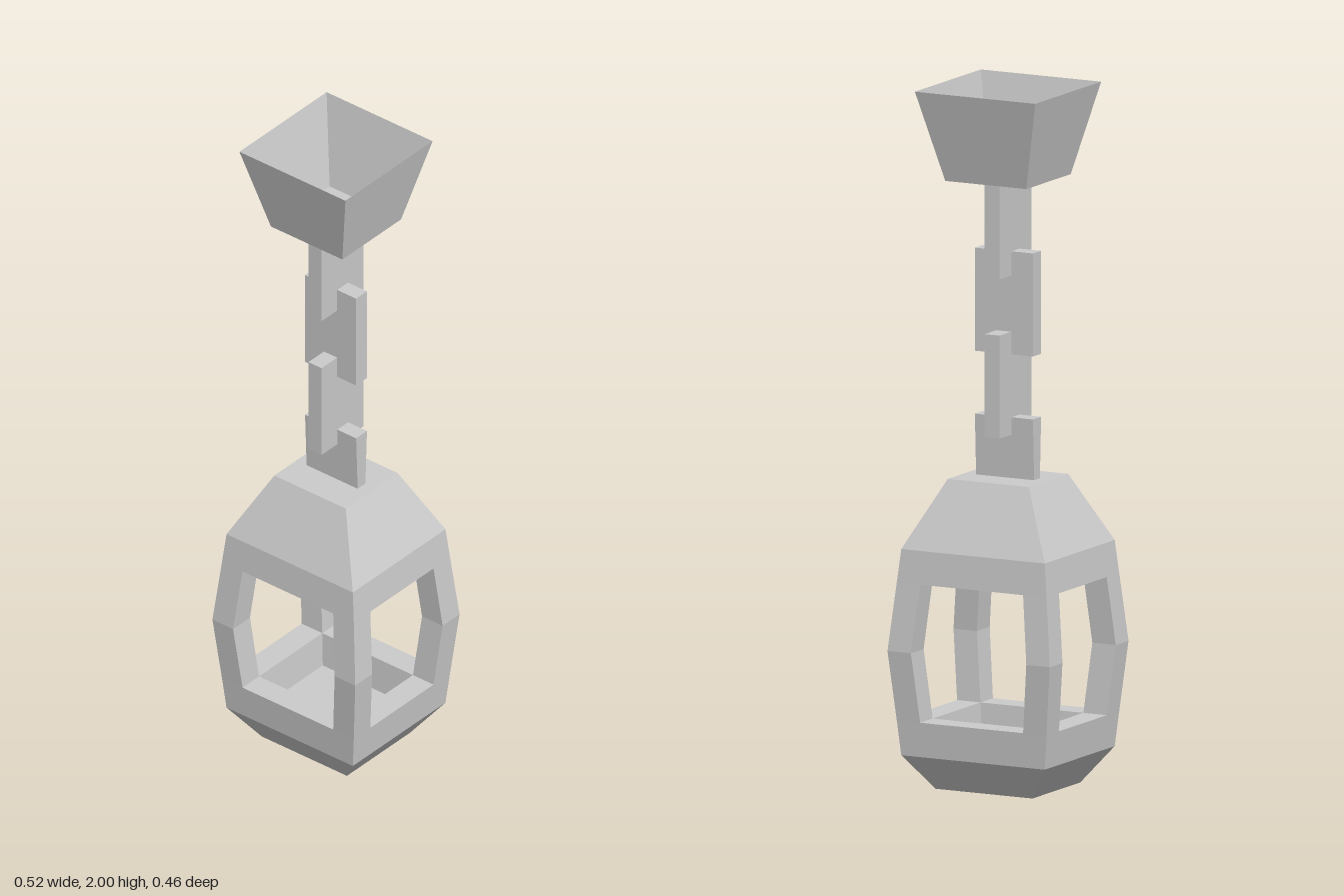
import * as THREE from 'three';

const material = new THREE.MeshStandardMaterial({ color: 0xcccccc, flatShading: true });
const thinMaterial = new THREE.MeshStandardMaterial({ color: 0xcccccc, flatShading: true, side: THREE.DoubleSide });

// Joins rectangular sections [y, halfX, halfZ, centreX, centreZ] into a faceted body
function loft(name, sections, { capStart = true, capEnd = true, mat = material } = {}) {
  const rings = sections.map(([y, hx, hz, cx = 0, cz = 0]) => [
    [cx - hx, y, cz + hz], [cx + hx, y, cz + hz], [cx + hx, y, cz - hz], [cx - hx, y, cz - hz],
  ]);
  const positions = [];
  const quad = (a, b, c, d) => positions.push(...a, ...b, ...c, ...a, ...c, ...d);
  for (let r = 0; r < rings.length - 1; r++) {
    const lower = rings[r], upper = rings[r + 1];
    for (let i = 0; i < 4; i++) {
      const j = (i + 1) % 4;
      quad(lower[i], lower[j], upper[j], upper[i]);
    }
  }
  if (capStart) quad(...[...rings[0]].reverse());
  if (capEnd) quad(...rings[rings.length - 1]);
  const geometry = new THREE.BufferGeometry();
  geometry.setAttribute('position', new THREE.Float32BufferAttribute(positions, 3));
  geometry.computeVertexNormals();
  const mesh = new THREE.Mesh(geometry, mat);
  mesh.name = name;
  return mesh;
}

export function createModel() {
  const model = new THREE.Group();
  model.name = 'hangingLantern';

  // Lantern body: tray-like base and hollow roof
  const lantern = new THREE.Group();
  lantern.name = 'lantern';
  lantern.add(loft('base', [
    [0, 0.155, 0.14], [0.1, 0.23, 0.205], [0.2, 0.24, 0.213],
    [0.2, 0.165, 0.14], [0.1, 0.155, 0.13],
  ]));
  lantern.add(loft('roof', [
    [0.69, 0.155, 0.13], [0.595, 0.165, 0.14], [0.595, 0.24, 0.213],
    [0.69, 0.23, 0.205], [0.885, 0.13, 0.115],
  ]));

  // Four square posts, bowed outward at the middle
  for (const sx of [-1, 1]) {
    for (const sz of [-1, 1]) {
      lantern.add(loft('cornerPost', [
        [0.2, 0.0375, 0.0365, sx * 0.2025, sz * 0.1765],
        [0.4, 0.0375, 0.0375, sx * 0.2225, sz * 0.1935],
        [0.595, 0.0375, 0.0365, sx * 0.2025, sz * 0.1765],
      ], { capStart: false, capEnd: false }));
    }
  }
  model.add(lantern);

  // Chain of flat links, alternately turned a quarter
  const chain = new THREE.Group();
  chain.name = 'chain';
  const wide = 0.093, thin = 0.024;
  chain.add(loft('bottomLink', [[0.885, wide, 0.017], [1.06, wide, thin]]));
  [[1.01, 1.305], [1.24, 1.535], [1.465, 1.742]].forEach(([y0, y1], i) => {
    const [hx, hz] = i % 2 ? [wide, thin] : [thin, wide];
    chain.add(loft('chainLink', [[y0, hx, hz], [y1, hx, hz]]));
  });
  model.add(chain);

  // Open flared ceiling mount
  model.add(loft('ceilingMount', [[1.74, 0.13, 0.13], [2, 0.193, 0.193]], { capEnd: false, mat: thinMaterial }));

  return model;
}
